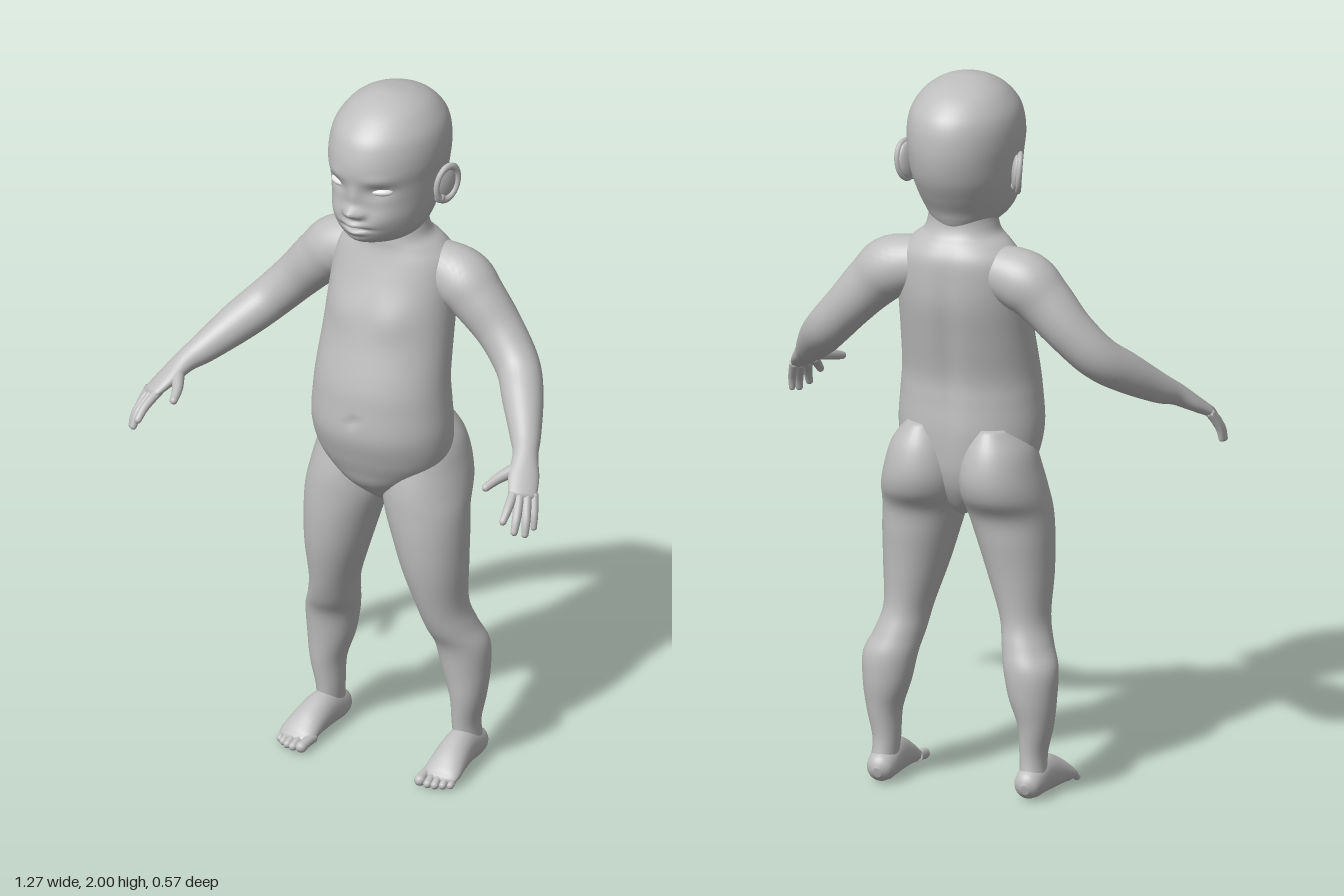
import * as THREE from 'three';

const clay = new THREE.MeshStandardMaterial({ color: 0xbebebe });
clay.name = 'greyClay';
const pale = new THREE.MeshStandardMaterial({ color: 0xececec });
pale.name = 'paleEye';

// Smooth in-between rows of a table of cross-section values
function refine(rows, steps) {
  const out = [];
  const last = rows.length - 1;
  for (let i = 0; i < last; i++) {
    const p = rows[Math.max(i - 1, 0)], a = rows[i], b = rows[i + 1], n = rows[Math.min(i + 2, last)];
    for (let s = 0; s < steps; s++) {
      const t = s / steps;
      out.push(a.map((v, k) => {
        const m0 = (b[k] - p[k]) / 2, m1 = (n[k] - v) / 2;
        return v + m0 * t + (3 * (b[k] - v) - 2 * m0 - m1) * t * t + (2 * (v - b[k]) + m0 + m1) * t * t * t;
      }));
    }
  }
  out.push(rows[last]);
  return out;
}

// Closed skin over rings of points, with both ends capped
function skin(rings) {
  const n = rings[0].length, pos = [], idx = [];
  rings.forEach(r => r.forEach(p => pos.push(p.x, p.y, p.z)));
  for (let i = 0; i < rings.length - 1; i++) {
    for (let j = 0; j < n; j++) {
      const a = i * n + j, b = i * n + (j + 1) % n;
      idx.push(a, a + n, b, b, a + n, b + n);
    }
  }
  const end = (rings.length - 1) * n;
  for (let j = 1; j < n - 1; j++) idx.push(0, j, j + 1, end, end + j + 1, end + j);
  const g = new THREE.BufferGeometry();
  g.setAttribute('position', new THREE.Float32BufferAttribute(pos, 3));
  g.setIndex(idx);
  g.computeVertexNormals();
  return g;
}

// Level sections [y, centre x, half width, front z, back z], bottom to top
function levels(rows, steps, n, relief = () => 0) {
  return skin(refine(rows, steps).map(([y, cx, rx, zf, zb]) => Array.from({ length: n }, (_, j) => {
    const t = j / n * Math.PI * 2, s = Math.sin(t);
    const x = cx + Math.cos(t) * rx;
    return new THREE.Vector3(x, y, (zf + zb) / 2 + s * (zf - zb) / 2 + relief(x, y, s));
  })));
}

// Limb along a path [x, y, z, half width, half depth], rounded at its end
function limb(rows, side, steps = 6, n = 24) {
  const f = refine(rows, steps), rings = [];
  const ring = (c, S, N, a, b) => rings.push(Array.from({ length: n }, (_, j) => {
    const t = j / n * Math.PI * 2;
    return c.clone().addScaledVector(S, Math.cos(t) * a).addScaledVector(N, Math.sin(t) * b);
  }));
  f.forEach((r, i) => {
    const c = new THREE.Vector3(r[0], r[1], r[2]);
    const p = f[Math.max(i - 1, 0)], q = f[Math.min(i + 1, f.length - 1)];
    const T = new THREE.Vector3(q[0] - p[0], q[1] - p[1], q[2] - p[2]).normalize();
    const S = side.clone().addScaledVector(T, -side.dot(T)).normalize();
    const N = new THREE.Vector3().crossVectors(S, T);
    ring(c, S, N, r[3], r[4]);
    if (i === f.length - 1) {
      for (let k = 1; k <= 5; k++) {
        const u = k / 5 * 1.54;
        ring(c.clone().addScaledVector(T, Math.sin(u) * r[4]), S, N, r[3] * Math.cos(u), r[4] * Math.cos(u));
      }
    }
  });
  return skin(rings);
}

const bump = (x, y, cx, cy, sx, sy, h) => h * Math.exp(-(((x - cx) / sx) ** 2) - ((y - cy) / sy) ** 2);

// Face relief pushed out of, or into, the front of the head
function faceRelief(x, y, s) {
  if (s <= 0) return 0;
  const ax = Math.abs(x);
  return s * (
    bump(x, y, 0, 1.708, 0.02, 0.016, 0.03)           // nose tip
    + bump(x, y, 0, 1.745, 0.016, 0.035, 0.01)        // nose bridge
    + bump(ax, y, 0.022, 1.702, 0.011, 0.011, 0.012)  // nostrils
    + bump(ax, y, 0.07, 1.772, 0.036, 0.02, -0.014)   // eye sockets
    + bump(ax, y, 0.07, 1.808, 0.04, 0.016, 0.005)    // brows
    + bump(ax, y, 0.075, 1.685, 0.035, 0.035, 0.012)  // cheeks
    + bump(x, y, 0, 1.67, 0.034, 0.011, 0.017)        // upper lip
    + bump(x, y, 0, 1.645, 0.03, 0.01, 0.012)         // lower lip
    + bump(x, y, 0, 1.657, 0.04, 0.005, -0.012)       // mouth line
    + bump(x, y, 0, 1.617, 0.035, 0.016, 0.01));      // chin
}

// Soft relief of chest, navel and spine
function torsoRelief(x, y, s) {
  const ax = Math.abs(x);
  if (s > 0) return s * (bump(ax, y, 0.085, 1.36, 0.06, 0.05, 0.008) + bump(x, y, 0, 1.07, 0.012, 0.012, -0.01));
  return -s * bump(x, y, 0, 1.25, 0.03, 0.24, 0.012);
}

export function createModel() {
  const model = new THREE.Group();
  model.name = 'infantFigure';
  const add = (name, geo, parent = model, mat = clay) => {
    const m = new THREE.Mesh(geo, mat);
    m.name = name;
    parent.add(m);
    return m;
  };

  // Torso with neck
  add('torso', levels([
    [0.77, 0, 0.02, -0.05, -0.13], [0.8, 0, 0.06, -0.01, -0.16], [0.85, 0, 0.12, 0.045, -0.19],
    [0.9, 0, 0.172, 0.07, -0.205], [0.95, 0, 0.195, 0.09, -0.21], [1.02, 0, 0.203, 0.11, -0.212],
    [1.1, 0, 0.198, 0.107, -0.207], [1.17, 0, 0.192, 0.098, -0.207], [1.28, 0, 0.186, 0.067, -0.23],
    [1.38, 0, 0.183, 0.04, -0.25], [1.46, 0, 0.18, 0.01, -0.252], [1.51, 0, 0.168, -0.008, -0.247],
    [1.545, 0, 0.138, -0.018, -0.23], [1.57, 0, 0.108, -0.02, -0.21], [1.6, 0, 0.097, -0.025, -0.2],
    [1.64, 0, 0.092, -0.03, -0.2]], 6, 64, torsoRelief));

  // Head
  add('head', levels([
    [1.585, 0, 0.07, -0.03, -0.19], [1.6, 0, 0.09, 0.05, -0.2], [1.615, 0, 0.105, 0.075, -0.207],
    [1.64, 0, 0.12, 0.092, -0.218], [1.68, 0, 0.133, 0.099, -0.243], [1.73, 0, 0.143, 0.099, -0.27],
    [1.78, 0, 0.149, 0.105, -0.285], [1.83, 0, 0.154, 0.11, -0.29], [1.88, 0, 0.151, 0.1, -0.285],
    [1.92, 0, 0.138, 0.08, -0.267], [1.96, 0, 0.108, 0.036, -0.225], [1.985, 0, 0.07, -0.012, -0.17],
    [1.997, 0, 0.03, -0.055, -0.115], [2, 0, 0.002, -0.082, -0.086]], 9, 80, faceRelief));

  for (const m of [1, -1]) {
    const part = new THREE.Group();
    part.name = m > 0 ? 'leftSide' : 'rightSide';
    model.add(part);
    const X = rows => rows.map(r => [r[0] * m, ...r.slice(1)]);

    // Eye
    const eye = add('eye', new THREE.SphereGeometry(1, 24, 16), part, pale);
    eye.scale.set(0.03, 0.011, 0.014);
    eye.position.set(0.069 * m, 1.771, 0.066);
    eye.rotation.y = 0.5 * m;

    // Ear: bowl, rim and lobe
    const ear = new THREE.Group();
    ear.name = 'ear';
    ear.position.set(0.157 * m, 1.745, -0.118);
    ear.rotation.set(-0.15, -0.35 * m, -0.12 * m);
    part.add(ear);
    add('earBowl', new THREE.SphereGeometry(1, 24, 16), ear).scale.set(0.013, 0.052, 0.036);
    const rim = add('earRim', new THREE.TorusGeometry(0.036, 0.008, 10, 32), ear);
    rim.rotation.y = Math.PI / 2;
    rim.scale.y = 1.4;
    rim.position.x = 0.008 * m;
    const lobe = add('earLobe', new THREE.SphereGeometry(0.015, 16, 12), ear);
    lobe.position.set(0.002 * m, -0.045, 0.012);

    // Leg with hip, thigh, knee and calf
    add('leg', levels([
      [0.06, 0.217, 0.036, -0.09, -0.19], [0.12, 0.214, 0.037, -0.085, -0.182],
      [0.2, 0.22, 0.048, -0.075, -0.19], [0.28, 0.212, 0.066, -0.068, -0.203],
      [0.36, 0.204, 0.075, -0.055, -0.204], [0.42, 0.185, 0.069, -0.025, -0.185],
      [0.49, 0.169, 0.067, 0.0, -0.166], [0.6, 0.153, 0.088, 0.028, -0.172],
      [0.7, 0.138, 0.105, 0.04, -0.185], [0.78, 0.124, 0.116, 0.042, -0.198],
      [0.84, 0.115, 0.117, 0.04, -0.238], [0.9, 0.108, 0.11, 0.03, -0.25],
      [0.97, 0.105, 0.09, 0.01, -0.235], [1.03, 0.1, 0.05, -0.03, -0.2]].map(r => [r[0], r[1] * m, ...r.slice(2)]), 5, 40));

    // Foot and toes
    const across = new THREE.Vector3(1, 0, 0);
    add('foot', limb(X([
      [0.215, 0.034, -0.204, 0.012, 0.014], [0.215, 0.038, -0.19, 0.033, 0.034],
      [0.215, 0.046, -0.16, 0.041, 0.046], [0.217, 0.055, -0.1, 0.044, 0.055],
      [0.222, 0.045, -0.04, 0.049, 0.045], [0.226, 0.029, 0.01, 0.054, 0.028],
      [0.228, 0.02, 0.03, 0.051, 0.018]]), across));
    for (let i = 0; i < 5; i++) {
      const x = [0.185, 0.21, 0.23, 0.249, 0.266][i], r = [0.016, 0.012, 0.0115, 0.011, 0.01][i];
      const tip = [0.064, 0.066, 0.062, 0.052, 0.04][i];
      add('toe', limb(X([[x, 0.023, 0.01, r, r], [x, 0.021, tip - 0.02, r * 0.9, r * 0.9],
        [x + 0.002, r + 0.001, tip, r, r]]), across, 4, 14));
    }

    // Arm running into the palm
    const palmSide = new THREE.Vector3(0.055 * m, -0.015, -0.04);
    add('arm', limb(X([
      [0.09, 1.475, -0.145, 0.07, 0.07], [0.19, 1.45, -0.145, 0.085, 0.085],
      [0.25, 1.4, -0.142, 0.076, 0.076], [0.32, 1.325, -0.138, 0.066, 0.066],
      [0.39, 1.25, -0.11, 0.061, 0.061], [0.445, 1.195, -0.045, 0.056, 0.056],
      [0.505, 1.135, 0.04, 0.042, 0.042], [0.535, 1.108, 0.09, 0.035, 0.031],
      [0.56, 1.075, 0.14, 0.043, 0.023], [0.583, 1.045, 0.185, 0.04, 0.016]]), palmSide, 6, 32));

    // Fingers and thumb: knuckle to tip
    const fingers = [
      [[0.56, 1.055, 0.185], [0.572, 1.025, 0.24], [0.575, 0.998, 0.273]],
      [[0.577, 1.045, 0.19], [0.596, 1.0, 0.236], [0.6, 0.965, 0.256]],
      [[0.594, 1.04, 0.18], [0.614, 0.99, 0.217], [0.619, 0.953, 0.231]],
      [[0.606, 1.042, 0.162], [0.622, 0.995, 0.188], [0.626, 0.961, 0.197]],
      [[0.54, 1.09, 0.125], [0.507, 1.072, 0.18], [0.492, 1.058, 0.225]]];
    fingers.forEach((path, i) => add(i < 4 ? 'finger' : 'thumb',
      limb(X(path.map((p, k) => {
        const r = (i === 4 ? [0.02, 0.015, 0.011] : [0.014, 0.0125, 0.01])[k] * (i === 3 ? 0.88 : 1);
        return [...p, r, r];
      })), palmSide, 5, 14)));
  }
  return model;
}
